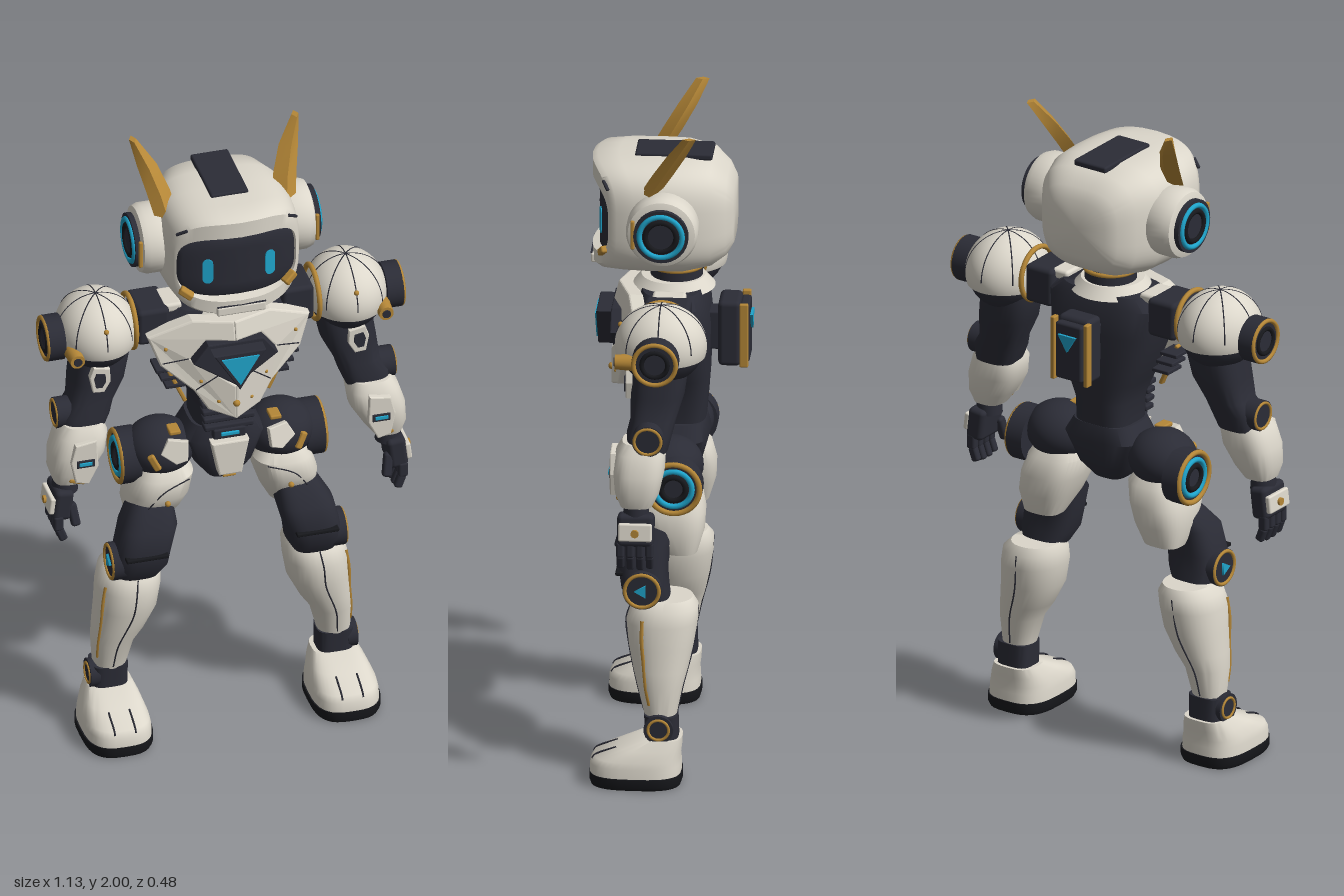
import * as THREE from 'three';
import { toCreasedNormals } from 'three/addons/utils/BufferGeometryUtils.js';
import { RoundedBoxGeometry } from 'three/addons/geometries/RoundedBoxGeometry.js';

const mat = (name, color) => new THREE.MeshStandardMaterial({ name, color });
const white = mat('warm white', 0xdcd7cb), dark = mat('charcoal', 0x2b2c36), gold = mat('gold', 0xb58737),
  cyan = mat('cyan', 0x1fa5cc), black = mat('black', 0x17181c);

function add(parent, name, geo, material, x = 0, y = 0, z = 0, rx = 0, ry = 0, rz = 0) {
  const m = new THREE.Mesh(geo, material);
  m.name = name;
  m.position.set(x, y, z);
  m.rotation.set(rx, ry, rz);
  parent.add(m);
  return m;
}
function group(parent, name) {
  const g = new THREE.Group();
  g.name = name;
  parent.add(g);
  return g;
}
const box = (w, h, d, r = 0.006) => new RoundedBoxGeometry(w, h, d, 2, Math.min(r, w / 3, h / 3, d / 3));

// Superellipse rings [y, cx, cz, rx, rz] skinned upwards and capped
function loft(rings, s = 1, e = 2.4, n = 36, warp = null) {
  const pos = [], idx = [], top = (rings.length - 1) * n;
  const pw = v => Math.sign(v) * Math.abs(v) ** (2 / e);
  for (const [y, cx, cz, rx, rz] of rings)
    for (let i = 0; i < n; i++) {
      const a = i / n * Math.PI * 2;
      pos.push(cx * s + rx * pw(Math.cos(a)), y, cz + rz * pw(Math.sin(a)));
    }
  for (const [y, cx, cz] of [rings[0], rings[rings.length - 1]]) pos.push(cx * s, y, cz);
  const c0 = rings.length * n;
  for (let i = 0; i < n; i++) {
    const k = (i + 1) % n;
    for (let j = 0; j < top; j += n) idx.push(j + i, j + n + i, j + k, j + k, j + n + i, j + n + k);
    idx.push(c0, i, k, c0 + 1, top + k, top + i);
  }
  const g = new THREE.BufferGeometry();
  g.setAttribute('position', new THREE.Float32BufferAttribute(pos, 3));
  g.setIndex(idx);
  if (warp) warp(g);
  return toCreasedNormals(g, 0.75);
}

// Flat outline with thickness towards +z
function plate(points, depth, bevel = 0) {
  return new THREE.ExtrudeGeometry(new THREE.Shape(points.map(p => new THREE.Vector2(...p))), {
    depth, bevelEnabled: bevel > 0, bevelSize: bevel, bevelThickness: bevel, bevelOffset: -bevel, bevelSegments: 2 });
}
const line = (pts, r) => new THREE.TubeGeometry(new THREE.CatmullRomCurve3(pts.map(p => new THREE.Vector3(...p))), 20, r, 5);

// Round joint cap on an x axis with coloured rings on the outside
function disc(parent, name, s, x, y, z, r, w, rings, core = null) {
  const g = group(parent, name);
  g.position.set(x * s, y, z);
  add(g, 'hub', new THREE.CylinderGeometry(r, r, w, 32), dark, 0, 0, 0, 0, 0, Math.PI / 2);
  for (const [m, f] of rings)
    add(g, 'ring', new THREE.TorusGeometry(r * f, r * 0.1, 8, 36), m, s * w / 2, 0, 0, 0, Math.PI / 2);
  if (core) add(g, 'core', new THREE.CylinderGeometry(r * 0.4, r * 0.4, 0.008, 3), core, s * (w / 2 + 0.003), 0, 0, 0, 0, Math.PI / 2);
}

function head(root) {
  const g = group(root, 'head');
  // lay the rings along z and curve the front round the face
  const bend = (k) => (geo) => {
    geo.rotateX(Math.PI / 2);
    const p = geo.attributes.position;
    for (let i = 0; i < p.count; i++) {
      const x = p.getX(i), z = p.getZ(i);
      p.setZ(i, z - k * x * x * Math.max(0, Math.min(1, z / 0.2)));
    }
  };
  add(g, 'helmet', loft([[-0.185, 0, -1.69, 0.1, 0.09], [-0.165, 0, -1.69, 0.135, 0.125], [-0.12, 0, -1.695, 0.172, 0.16],
    [-0.04, 0, -1.695, 0.203, 0.174], [0.06, 0, -1.695, 0.21, 0.175], [0.16, 0, -1.695, 0.207, 0.173],
    [0.225, 0, -1.695, 0.2, 0.168], [0.24, 0, -1.695, 0.192, 0.158], [0.24, 0, -1.69, 0.184, 0.112], [0.2, 0, -1.69, 0.178, 0.105]],
    1, 3.4, 64, bend(1.8)), white);
  add(g, 'visor', loft([[0.17, 0, -1.688, 0.184, 0.107], [0.212, 0, -1.688, 0.18, 0.103], [0.218, 0, -1.688, 0.168, 0.094],
    [0.218, 0, -1.688, 0.11, 0.06], [0.218, 0, -1.688, 0.05, 0.03]], 1, 3.6, 64, bend(1.2)), dark);
  add(g, 'crownPlate', box(0.116, 0.02, 0.23, 0.008), dark, 0, 1.868, -0.005);
  add(g, 'chinGuard', box(0.15, 0.03, 0.03), white, 0, 1.545, 0.225);
  add(g, 'chinSeam', box(0.15, 0.003, 0.006), dark, 0, 1.562, 0.238);
  for (const s of [1, -1]) {
    const eye = new THREE.Shape();
    eye.absarc(0, 0.026, 0.016, 0, Math.PI);
    eye.absarc(0, -0.026, 0.016, Math.PI, Math.PI * 2);
    add(g, 'eye', new THREE.ExtrudeGeometry(eye, { depth: 0.006, bevelEnabled: false }), cyan, s * 0.095, 1.677, 0.204, 0, s * 0.224);
    add(g, 'cheekTrim', box(0.045, 0.022, 0.03), gold, s * 0.158, 1.603, 0.194, 0, s * 0.4, s * 0.6);
    add(g, 'browVent', box(0.04, 0.008, 0.01), dark, s * 0.17, 1.815, 0.188, 0, s * 0.5, -s * 0.5);
    // ear cup
    const cup = new THREE.LatheGeometry([[0, 0.17], [0.1, 0.17], [0.107, 0.19], [0.107, 0.245], [0.1, 0.263], [0.08, 0.27], [0, 0.27]]
      .map(p => new THREE.Vector2(...p)), 40);
    add(g, 'earCup', toCreasedNormals(cup, 0.7), white, 0, 1.7, 0.015, 0, 0, -s * Math.PI / 2);
    disc(g, 'earDisc', s, 0.274, 1.7, 0.015, 0.082, 0.022, [[cyan, 0.78], [black, 0.56]]);
    add(g, 'earTrim', box(0.012, 0.09, 0.012), gold, s * 0.272, 1.7, 0.1);
    // horn
    add(g, 'horn', loft([[1.8, 0.183, 0.055, 0.035, 0.028], [1.86, 0.195, 0.018, 0.036, 0.03], [1.93, 0.218, -0.025, 0.03, 0.028],
      [2.0, 0.25, -0.067, 0.011, 0.02]], s, 2, 4), gold);
  }
  add(g, 'neck', new THREE.CylinderGeometry(0.075, 0.08, 0.1, 32), dark, 0, 1.49, -0.01);
  add(g, 'neckRing', new THREE.TorusGeometry(0.078, 0.007, 8, 36), gold, 0, 1.51, -0.01, Math.PI / 2);
}

function torso(root) {
  const g = group(root, 'torso');
  add(g, 'body', loft([[0.98, 0, -0.01, 0.09, 0.085], [1.1, 0, -0.01, 0.09, 0.095], [1.17, 0, -0.005, 0.12, 0.105],
    [1.33, 0, 0, 0.185, 0.115], [1.42, 0, 0, 0.195, 0.105], [1.455, 0, 0, 0.15, 0.09]], 1, 3.2), dark);
  add(g, 'collar', toCreasedNormals(new THREE.CylinderGeometry(0.095, 0.125, 0.035, 36), 0.7), white, 0, 1.46, 0);
  for (let i = 0; i < 4; i++) add(g, 'waistRib', box(0.17 - i * 0.006, 0.018, 0.04), dark, 0, 1.125 - i * 0.028, 0.085);
  // chest armour, each half swept back from the centre line
  for (const s of [1, -1]) {
    const half = plate([[0, 1.45], [0.12, 1.45], [0.25, 1.395], [0.215, 1.3], [0.12, 1.215], [0.08, 1.15], [0, 1.12],
      [0, 1.235], [0.13, 1.33], [0.085, 1.39], [0, 1.39]].map(([x, y]) => [x * s, y]), 0.035, 0.005);
    const p = half.attributes.position;
    for (let i = 0; i < p.count; i++)
      p.setZ(i, p.getZ(i) + 0.145 - 0.32 * Math.abs(p.getX(i)) - 0.25 * Math.max(0, p.getY(i) - 1.36));
    half.computeVertexNormals();
    add(g, 'chestArmour', half, white);
    add(g, 'chestSeam', line([[s * 0.135, 1.33, 0.141], [s * 0.21, 1.31, 0.118]], 0.002), dark);
    add(g, 'chestSeam', line([[s * 0.05, 1.275, 0.17], [s * 0.115, 1.22, 0.148]], 0.002), dark);
    for (const [x, y] of [[0.2, 1.36], [0.1, 1.25], [0.05, 1.18]])
      add(g, 'chestStud', new THREE.SphereGeometry(0.006, 10, 8), gold, s * x, y, 0.183 - 0.32 * x);
    add(g, 'flankTrim', box(0.012, 0.15, 0.02), gold, s * 0.158, 1.205, 0.07, 0, 0, -s * 0.42);
    for (let i = 0; i < 3; i++) add(g, 'flankFin', box(0.06, 0.012, 0.07, 0.003), dark, s * (0.19 - i * 0.015), 1.26 - i * 0.03, 0.05);
    add(g, 'shoulderMount', box(0.1, 0.12, 0.14, 0.015), dark, s * 0.222, 1.41, 0);
    add(g, 'mountCap', box(0.06, 0.03, 0.1, 0.01), white, s * 0.16, 1.455, 0);
  }
  const tri = (w, y0, y1) => [[-w, y0], [w, y0], [0, y1]];
  add(g, 'coreHousing', plate([[-0.13, 1.33], [-0.085, 1.39], [0.085, 1.39], [0.13, 1.33], [0, 1.235]], 0.075, 0.004), dark, 0, 0, 0.1);
  add(g, 'coreFrame', plate(tri(0.08, 1.378, 1.247), 0.045, 0.004), dark, 0, 0, 0.175);
  add(g, 'coreLight', plate(tri(0.058, 1.364, 1.268), 0.008), cyan, 0, 0, 0.221);
  add(g, 'chestTip', new THREE.SphereGeometry(0.011, 12, 8), gold, 0, 1.175, 0.183);
  // back pack
  const b = group(g, 'backPack');
  add(b, 'packMount', box(0.07, 0.12, 0.08), dark, 0, 1.31, -0.12);
  add(b, 'packBody', box(0.115, 0.205, 0.068, 0.015), dark, 0, 1.307, -0.17);
  add(b, 'packCover', box(0.095, 0.18, 0.03, 0.008), dark, 0, 1.307, -0.215);
  add(b, 'packLight', plate(tri(0.032, 1.362, 1.31), 0.008), cyan, 0, 0, -0.238);
  for (const s of [1, -1]) add(b, 'packRail', box(0.016, 0.2, 0.026, 0.004), gold, s * 0.06, 1.307, -0.214);
}

function pelvis(root) {
  const g = group(root, 'pelvis');
  add(g, 'pelvisBlock', loft([[0.84, 0, 0.01, 0.05, 0.055], [0.89, 0, 0, 0.09, 0.085], [0.98, 0, -0.01, 0.13, 0.1],
    [1.03, 0, -0.01, 0.1, 0.09]], 1, 3.2), dark);
  add(g, 'beltBuckle', box(0.1, 0.035, 0.03), dark, 0, 1.02, 0.095);
  add(g, 'beltLight', box(0.056, 0.012, 0.008), cyan, 0, 1.022, 0.112);
  add(g, 'frontPlate', plate([[-0.058, 0.995], [0.058, 0.995], [0.035, 0.88], [-0.035, 0.88]], 0.03, 0.005), white, 0, 0, 0.085);
  add(g, 'plateTrim', box(0.04, 0.008, 0.012), gold, 0, 0.868, 0.1);
}

function leg(root, s) {
  const g = group(root, s > 0 ? 'leftLeg' : 'rightLeg');
  add(g, 'hipJoint', new THREE.SphereGeometry(1, 32, 20), dark, s * 0.185, 0.94, -0.005).scale.set(0.105, 0.088, 0.1);
  disc(g, 'hipDisc', s, 0.283, 0.91, -0.025, 0.086, 0.056, [[gold, 0.9], [cyan, 0.64], [black, 0.42]]);
  add(g, 'hipPlate', plate([[-0.04, 0.035], [0.02, 0.045], [0.045, 0], [0, -0.035], [-0.035, -0.025]].map(([x, y]) => [x * s, y]), 0.015, 0.003),
    white, s * 0.16, 0.965, 0.083, -0.25, s * 0.2);
  add(g, 'hipTrim', box(0.022, 0.055, 0.02), gold, s * 0.225, 0.94, 0.085, 0, s * 0.4, -s * 0.5);
  add(g, 'hipStud', box(0.035, 0.014, 0.05), gold, s * 0.155, 1.018, 0.04);
  // thigh
  add(g, 'thighArmour', loft([[0.685, 0.218, -0.04, 0.06, 0.05], [0.75, 0.21, -0.02, 0.085, 0.09], [0.81, 0.197, -0.005, 0.093, 0.108],
    [0.87, 0.182, 0, 0.09, 0.1], [0.905, 0.178, 0, 0.065, 0.07]], s, 2.8), white);
  add(g, 'thighSeam', line([[s * 0.12, 0.87, 0.095], [s * 0.2, 0.84, 0.106], [s * 0.25, 0.77, 0.085]], 0.002), dark);
  add(g, 'thighTrim', box(0.018, 0.07, 0.02), gold, s * 0.252, 0.735, 0.08, 0, 0, s * 0.45);
  add(g, 'thighStud', new THREE.SphereGeometry(0.009, 12, 8), gold, s * 0.19, 0.8, 0.106);
  add(g, 'lowerThigh', loft([[0.545, 0.272, 0.045, 0.065, 0.06], [0.59, 0.268, 0.062, 0.085, 0.07], [0.64, 0.26, 0.068, 0.084, 0.072],
    [0.72, 0.24, 0.06, 0.085, 0.075], [0.79, 0.22, 0.02, 0.06, 0.06]], s, 3), dark);
  add(g, 'kneeBand', box(0.13, 0.012, 0.03), black, s * 0.262, 0.64, 0.132);
  disc(g, 'kneeDisc', s, 0.338, 0.6, 0.065, 0.058, 0.04, [[gold, 0.88]], cyan);
  // shin
  add(g, 'shin', loft([[0.21, 0.345, 0.01, 0.05, 0.048], [0.3, 0.336, 0.012, 0.064, 0.068], [0.35, 0.317, 0.012, 0.079, 0.082],
    [0.42, 0.296, 0.012, 0.093, 0.097], [0.49, 0.288, 0.01, 0.096, 0.106], [0.535, 0.282, 0.003, 0.092, 0.1], [0.56, 0.275, 0, 0.072, 0.08]], s, 2.2), white);
  add(g, 'shinSeam', line([[s * 0.28, 0.54, 0.1], [s * 0.288, 0.49, 0.117], [s * 0.296, 0.42, 0.11], [s * 0.336, 0.3, 0.081], [s * 0.345, 0.22, 0.06]], 0.0025), dark);
  add(g, 'calfSeam', line([[s * 0.282, 0.535, -0.097], [s * 0.296, 0.42, -0.086], [s * 0.336, 0.3, -0.057], [s * 0.345, 0.22, -0.04]], 0.0025), dark);
  add(g, 'shinStripe', line([[s * 0.369, 0.51, 0.063], [s * 0.378, 0.45, 0.064], [s * 0.381, 0.38, 0.058], [s * 0.388, 0.3, 0.05], [s * 0.388, 0.25, 0.04]], 0.006), gold);
  // ankle and foot
  add(g, 'ankle', loft([[0.13, 0.347, 0.005, 0.055, 0.05], [0.215, 0.347, 0.008, 0.056, 0.05]], s, 3.5), dark);
  disc(g, 'ankleDisc', s, 0.396, 0.18, 0.012, 0.044, 0.03, [[gold, 0.7]]);
  add(g, 'foot', loft([[0.03, 0.35, 0.083, 0.102, 0.136], [0.065, 0.35, 0.083, 0.1, 0.135], [0.085, 0.35, 0.078, 0.096, 0.128],
    [0.115, 0.348, 0.04, 0.084, 0.094], [0.145, 0.346, 0.005, 0.068, 0.06]], s, 3), white);
  add(g, 'sole', loft([[0, 0.35, 0.082, 0.1, 0.134], [0.012, 0.35, 0.082, 0.106, 0.138], [0.036, 0.35, 0.082, 0.106, 0.138]], s, 3), black);
  for (const d of [-0.032, 0.032])
    add(g, 'toeSeam', line([[s * 0.35 + d, 0.075, 0.211], [s * 0.35 + d, 0.088, 0.201], [s * 0.35 + d, 0.113, 0.139]], 0.003), dark);
}

function arm(root, s) {
  const g = group(root, s > 0 ? 'leftArm' : 'rightArm');
  // shoulder dome with radial seams
  const dome = group(g, 'shoulder');
  dome.position.set(s * 0.385, 1.4, 0.006);
  dome.scale.set(0.122, 0.124, 0.137);
  add(dome, 'shoulderDome', new THREE.SphereGeometry(1, 40, 20, 0, Math.PI * 2, 0, 1.85), white);
  add(dome, 'shoulderCore', new THREE.SphereGeometry(0.95, 32, 16), dark);
  for (let i = 0; i < 4; i++) add(dome, 'domeSeam', new THREE.TorusGeometry(0.996, 0.016, 6, 40, Math.PI), dark, 0, 0, 0, 0, i * Math.PI / 4);
  add(g, 'shoulderRing', new THREE.TorusGeometry(0.082, 0.008, 8, 36), gold, s * 0.282, 1.41, 0.01, 0, Math.PI / 2);
  disc(g, 'shoulderDisc', s, 0.52, 1.395, 0.012, 0.07, 0.05, [[gold, 0.9], [black, 0.55]]);
  add(g, 'shoulderBolt', new THREE.CylinderGeometry(0.022, 0.026, 0.06, 20), gold, s * 0.475, 1.375, 0.105, Math.PI / 2);
  add(g, 'boltCap', new THREE.CylinderGeometry(0.013, 0.013, 0.008, 16), dark, s * 0.475, 1.375, 0.135, Math.PI / 2);
  add(g, 'domeStud', new THREE.SphereGeometry(0.008, 10, 8), gold, s * 0.385, 1.46, 0.126);
  // upper arm
  add(g, 'upperArm', loft([[1.09, 0.44, 0.04, 0.065, 0.06], [1.14, 0.43, 0.035, 0.076, 0.068], [1.18, 0.41, 0.025, 0.068, 0.068],
    [1.25, 0.388, 0.015, 0.082, 0.08], [1.34, 0.372, 0.008, 0.085, 0.085], [1.4, 0.37, 0.005, 0.08, 0.08]], s, 2.8), dark);
  const hex = k => [[-0.03, 0.035], [0.02, 0.045], [0.032, 0.01], [0.022, -0.042], [-0.012, -0.045], [-0.032, -0.01]].map(([x, y]) => [x * s * k, y * k]);
  add(g, 'armPlate', plate(hex(1), 0.02, 0.003), white, s * 0.398, 1.28, 0.085);
  add(g, 'armPlateSlot', plate(hex(0.55), 0.006), dark, s * 0.4, 1.28, 0.107);
  disc(g, 'elbowDisc', s, 0.495, 1.14, 0.035, 0.047, 0.05, [[gold, 0.85]]);
  // forearm
  add(g, 'forearm', loft([[0.93, 0.49, 0.07, 0.045, 0.048], [0.97, 0.482, 0.068, 0.066, 0.066], [1.03, 0.462, 0.065, 0.083, 0.076],
    [1.09, 0.448, 0.06, 0.078, 0.074], [1.12, 0.443, 0.055, 0.06, 0.06]], s, 2.8), white);
  add(g, 'forearmPlate', plate([[-0.035, 0.07], [0.03, 0.06], [0.045, 0], [0.03, -0.07], [-0.01, -0.08], [-0.04, -0.02]].map(([x, y]) => [x * s, y]), 0.018, 0.004),
    white, s * 0.455, 1.025, 0.128);
  add(g, 'forearmSlot', box(0.056, 0.026, 0.008), dark, s * 0.455, 1.02, 0.149);
  add(g, 'forearmLight', box(0.04, 0.012, 0.006), cyan, s * 0.455, 1.02, 0.153);
  add(g, 'forearmTrim', box(0.05, 0.014, 0.03), gold, s * 0.475, 0.945, 0.115, 0, 0, s * 0.3);
  // hand
  const h = group(g, 'hand');
  add(h, 'wrist', new THREE.CylinderGeometry(0.036, 0.04, 0.05, 24), dark, s * 0.498, 0.915, 0.07);
  add(h, 'palm', box(0.058, 0.1, 0.11, 0.015), dark, s * 0.515, 0.86, 0.07, 0, 0, s * 0.12);
  add(h, 'handPlate', box(0.018, 0.055, 0.1, 0.006), white, s * 0.548, 0.862, 0.07, 0, 0, s * 0.12);
  add(h, 'handStud', new THREE.CylinderGeometry(0.012, 0.012, 0.008, 16), gold, s * 0.56, 0.862, 0.07, 0, 0, Math.PI / 2);
  for (let i = 0; i < 4; i++) {
    const z = 0.028 + i * 0.029, l = i % 3 ? 0.005 : 0;
    add(h, 'fingerBase', box(0.03, 0.05, 0.025, 0.008), dark, s * 0.53, 0.802, z);
    add(h, 'fingerTip', box(0.026, 0.046 + l, 0.023, 0.008), dark, s * 0.521, 0.762 - l / 2, z, 0, 0, -s * 0.35);
  }
  add(h, 'thumb', box(0.028, 0.075, 0.028, 0.009), dark, s * 0.483, 0.825, 0.115, -0.25, 0, -s * 0.15);
}

export function createModel() {
  const root = new THREE.Group();
  root.name = 'robot';
  head(root);
  torso(root);
  pelvis(root);
  for (const s of [1, -1]) {
    leg(root, s);
    arm(root, s);
  }
  return root;
}
